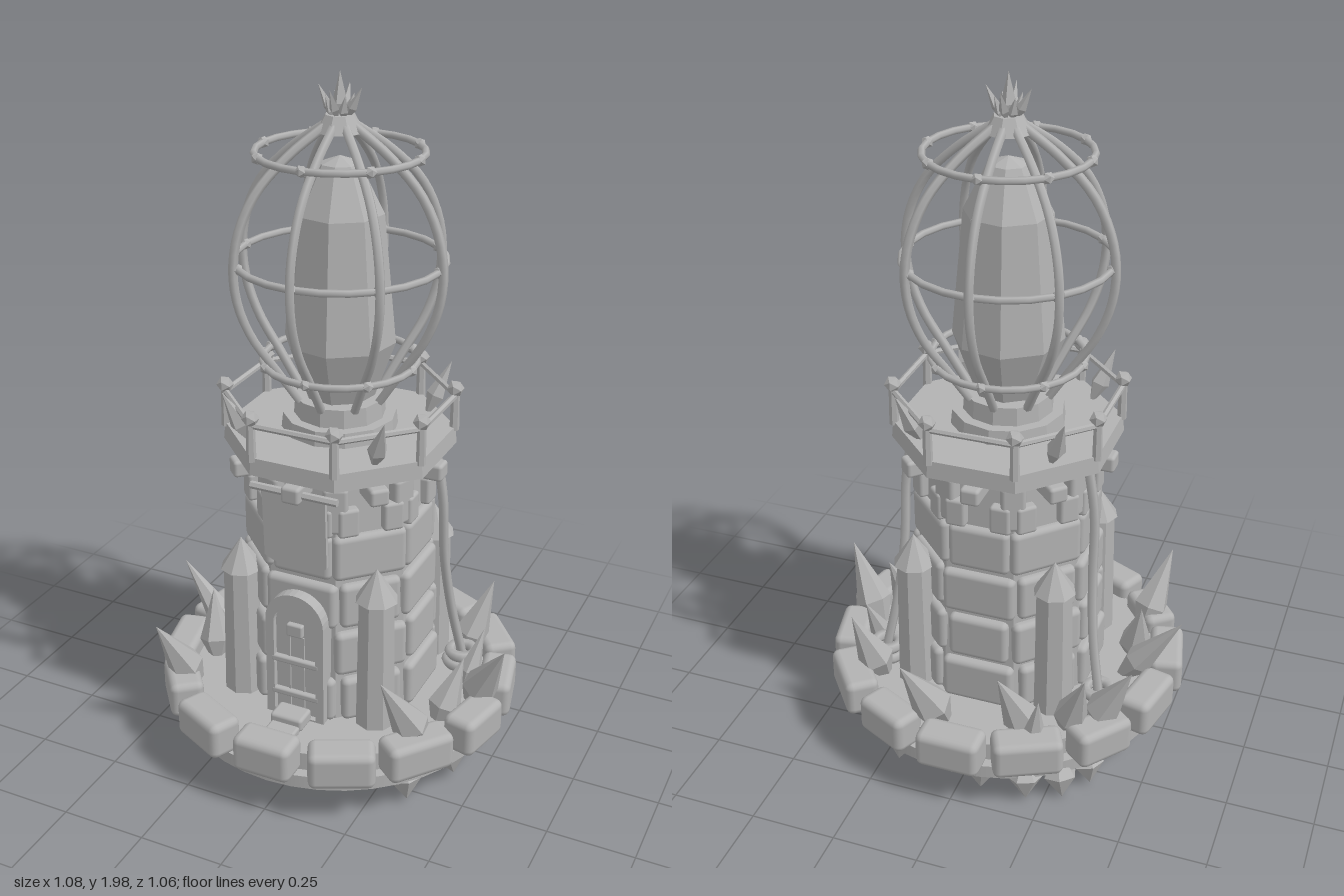
import * as THREE from 'three';
import { RoundedBoxGeometry } from 'three/addons/geometries/RoundedBoxGeometry.js';

export function createModel() {
  const root = new THREE.Group();
  root.name = 'crystalLighthouse';
  const stone = new THREE.MeshStandardMaterial({ color: 0xb2b2b2 });
  stone.name = 'grey stone';
  const V = (x, y, z) => new THREE.Vector3(x, y, z);
  const UP = V(0, 1, 0);

  const add = (name, geo, x = 0, y = 0, z = 0, ry = 0, parent = root) => {
    const m = new THREE.Mesh(geo, stone);
    m.name = name;
    m.position.set(x, y, z);
    m.rotation.y = ry;
    parent.add(m);
    return m;
  };
  // Places a part at radius r around the axis, facing outward, with a sideways shift
  const around = (name, geo, a, r, y, shift = 0) =>
    add(name, geo, Math.sin(a) * r + Math.cos(a) * shift, y, Math.cos(a) * r - Math.sin(a) * shift, a);
  const flat = (g) => {
    const f = g.index ? g.toNonIndexed() : g;
    f.computeVertexNormals();
    return f;
  };
  const block = (w, h, d, r = 0.018) => new RoundedBoxGeometry(w, h, d, 2, r);
  const prism = (rt, rb, h, n) => flat(new THREE.CylinderGeometry(rt, rb, h, n));
  const lathe = (pts, n) => flat(new THREE.LatheGeometry(pts.map((p) => new THREE.Vector2(...p)), n));
  const E = Math.PI / 4;

  // Pointed crystal running from one point to another
  const crystal = (name, from, to, r, n = 6, belly = 0.4) => {
    const d = to.clone().sub(from);
    const L = d.length();
    const m = add(name, lathe([[0, 0], [r, L * belly], [0, L]], n), from.x, from.y, from.z);
    m.quaternion.setFromUnitVectors(UP, d.normalize());
    return m;
  };
  const rod = (name, a, b, r) => {
    const m = add(name, prism(r, r, a.distanceTo(b), 6));
    m.position.copy(a).lerp(b, 0.5);
    m.quaternion.setFromUnitVectors(UP, b.clone().sub(a).normalize());
  };

  // Round base with a rim of rounded stones
  add('baseDisk', new THREE.CylinderGeometry(0.485, 0.485, 0.04, 40), 0, 0.13, 0);
  add('baseFloor', new THREE.CylinderGeometry(0.455, 0.455, 0.06, 40), 0, 0.175, 0);
  for (let i = 0; i < 14; i++) {
    around('rimStone', block(0.188 + 0.012 * (i % 3 - 1), 0.112, 0.1, 0.022),
      i * Math.PI / 7, 0.478 + 0.006 * (i % 2), 0.202);
  }

  // Crystals growing out of the base: x, z of the foot, then x, y, z of the tip, then radius
  [[0.05, -0.35, 0.15, 0.44, -0.48, 0.06], [-0.2, -0.32, -0.12, 0.43, -0.43, 0.055],
    [-0.32, -0.24, -0.46, 0.42, -0.27, 0.055], [-0.33, 0, -0.54, 0.43, -0.01, 0.045],
    [-0.36, 0.12, -0.4, 0.4, 0.06, 0.05], [-0.35, 0.22, -0.42, 0.43, 0.36, 0.055],
    [-0.26, -0.27, -0.35, 0.43, -0.36, 0.05], [0.3, -0.22, 0.38, 0.43, -0.3, 0.055],
    [0.4, -0.02, 0.54, 0.43, 0.06, 0.055], [0.36, 0.14, 0.42, 0.38, 0.06, 0.05],
    [0.38, 0.21, 0.29, 0.44, 0.36, 0.055], [0.37, -0.06, 0.41, 0.36, -0.14, 0.035],
    [-0.2, -0.38, -0.23, 0.36, -0.4, 0.035],
  ].forEach(([x, z, tx, ty, tz, r]) => crystal('baseCrystal', V(x, 0.15, z), V(tx, ty, tz), r));

  // Crystals hanging below the rim
  [[0.43, -0.05, 0.02], [0.42, 0.14, 0.04], [0.34, 0.29, 0.03], [0.2, -0.38, 0.02], [-0.07, -0.43, 0.04],
    [-0.29, -0.37, 0.02], [-0.35, -0.3, 0.03], [-0.2, -0.42, 0.03], [-0.4, -0.06, 0.04], [-0.33, 0.2, 0.03],
    [-0.3, 0.28, 0.02],
  ].forEach(([x, z, y]) => crystal('hangingCrystal', V(x * 0.94, 0.17, z * 0.94), V(x * 1.03, y, z * 1.03), 0.05, 6, 0.55));

  // Octagonal tower core clad with rows of stones
  add('towerCore', prism(0.25, 0.28, 0.77, 8), 0, 0.575, 0, E / 2);
  [0.27, 0.42, 0.57, 0.72].forEach((y, row) => {
    const r = 0.262 - row * 0.007;
    for (let i = 0; i < 8; i++) {
      const w = (i + row) % 2 ? 0.18 : 0.215;
      around('wallStone', block(w, 0.138, 0.07), i * E, r - 0.018, y);
    }
  });
  // Broken top row with notches
  for (let i = 0; i < 8; i++) {
    for (const s of [-1, 1]) around('notchStone', block(0.06, 0.085, 0.06, 0.01), i * E, 0.232, 0.832, s * 0.065);
    around('cornerStone', block(0.07, 0.14, 0.05, 0.012), (i + 0.5) * E, 0.245, 0.868);
  }

  // Corner turrets with pointed caps
  for (let i = 0; i < 4; i++) {
    const a = (i + 0.5) * Math.PI / 2;
    around('turret', prism(0.053, 0.06, 0.42, 8), a, 0.3, 0.405);
    around('turretCap', prism(0, 0.062, 0.095, 8), a, 0.3, 0.655);
    const s = Math.sin(a) * 0.33;
    const c = Math.cos(a) * 0.33;
    const y = 0.47 + 0.04 * i;
    crystal('turretShard', V(s * 0.85, y, c * 0.92), V(s * 0.95, y + 0.05, c * 1.02), 0.02, 5);
  }

  // Arched door with frame, hinges, window and steps
  const arch = (w, y0, y1) => {
    const s = new THREE.Shape();
    s.moveTo(-w, y0);
    s.lineTo(w, y0);
    s.lineTo(w, y1 - w);
    s.absarc(0, y1 - w, w, 0, Math.PI, false);
    s.closePath();
    return s;
  };
  const frame = arch(0.09, 0.2, 0.61);
  frame.holes.push(arch(0.065, 0.21, 0.575));
  const extr = (s, depth) => new THREE.ExtrudeGeometry(s, { depth, bevelEnabled: false, curveSegments: 8 });
  add('doorFrame', extr(frame, 0.07), 0, 0, 0.232);
  add('door', extr(arch(0.067, 0.2, 0.577), 0.055), 0, 0, 0.23);
  [0.28, 0.39].forEach((y) => add('doorHinge', block(0.15, 0.02, 0.02, 0.006), 0, y, 0.293));
  [-0.022, 0.022].forEach((x) => add('doorGroove', new THREE.BoxGeometry(0.005, 0.26, 0.008), x, 0.34, 0.286));
  add('doorWindow', block(0.05, 0.04, 0.02, 0.006), 0, 0.495, 0.294);
  add('upperStep', block(0.1, 0.04, 0.07, 0.01), 0, 0.225, 0.33);
  add('lowerStep', block(0.09, 0.025, 0.06, 0.008), 0, 0.212, 0.39);

  // Cloth banner above the door
  const cloth = new THREE.Shape();
  cloth.moveTo(-0.095, 0.925);
  cloth.lineTo(-0.09, 0.72);
  cloth.quadraticCurveTo(-0.03, 0.69, 0.02, 0.7);
  cloth.quadraticCurveTo(0.07, 0.69, 0.1, 0.72);
  cloth.lineTo(0.095, 0.925);
  add('banner', extr(cloth, 0.012), 0, 0, 0.285);
  rod('bannerRod', V(-0.13, 0.925, 0.292), V(0.13, 0.925, 0.292), 0.011);

  // Balcony slab, brackets and railing
  add('balcony', prism(0.325, 0.33, 0.05, 8), 0, 0.985, 0, E / 2);
  add('balconyUnderside', prism(0.3, 0.265, 0.03, 8), 0, 0.947, 0, E / 2);
  const corner = (i, y, r = 0.322) => V(Math.sin((i + 0.5) * E) * r, y, Math.cos((i + 0.5) * E) * r);
  for (let i = 0; i < 8; i++) {
    around('bracket', block(0.055, 0.05, 0.1, 0.01), i * E, 0.27, 0.928);
    const p = corner(i, 1.06);
    add('railPost', prism(0.012, 0.014, 0.12, 6), p.x, p.y, p.z);
    add('railKnob', flat(new THREE.IcosahedronGeometry(0.025, 0)), p.x, 1.125, p.z);
    rod('rail', corner(i, 1.105), corner(i + 1, 1.105), 0.009);
  }
  for (let i = 0; i < 4; i++) {
    const a = (i + 0.5) * Math.PI / 2;
    const s = Math.sin(a);
    const c = Math.cos(a);
    crystal('balconyCrystal', V(s * 0.26, 0.99, c * 0.26), V(s * 0.34, 1.155, c * 0.34), 0.028, 5);
  }

  // Hanging ropes ending in coils on the ground
  for (const s of [-1, 1]) {
    const path = new THREE.CatmullRomCurve3([V(s * 0.26, 0.96, -0.08), V(s * 0.285, 0.8, -0.085),
      V(s * 0.29, 0.6, -0.1), V(s * 0.305, 0.42, -0.13), V(s * 0.335, 0.24, -0.16)]);
    add('rope', new THREE.TubeGeometry(path, 20, 0.014, 6));
    [0.22, 0.25].forEach((y, k) => {
      add('ropeCoil', new THREE.TorusGeometry(0.045 - k * 0.008, 0.017, 6, 16), s * 0.335, y, -0.16).rotation.x = Math.PI / 2;
    });
  }

  // Lamp pedestal
  add('pedestalBase', prism(0.16, 0.165, 0.045, 12), 0, 1.03, 0);
  add('pedestalTop', prism(0.125, 0.13, 0.06, 12), 0, 1.075, 0);

  // Large faceted lamp crystal
  add('lampCrystal', lathe([[0, 1.1], [0.1, 1.11], [0.157, 1.27], [0.122, 1.63], [0.055, 1.76], [0, 1.78]], 8), 0, 0, 0, 0.2);

  // Cage of eight curved ribs
  const rib = new THREE.CatmullRomCurve3([[0.12, 1.1], [0.185, 1.2], [0.25, 1.3], [0.288, 1.4], [0.298, 1.5],
    [0.28, 1.6], [0.23, 1.7], [0.14, 1.79], [0.04, 1.86]].map(([r, y]) => V(0, y, r)));
  const ribGeo = new THREE.TubeGeometry(rib, 28, 0.013, 6);
  for (let i = 0; i < 8; i++) add('cageRib', ribGeo, 0, 0, 0, i * E);

  // Cage hoops with small knobs
  [[1.21, 0.215], [1.5, 0.287], [1.79, 0.225]].forEach(([y, r]) => {
    add('cageHoop', new THREE.TorusGeometry(r, 0.01, 6, 24), 0, y, 0).rotation.x = Math.PI / 2;
    for (let i = 0; i < 8; i++) around('hoopKnob', flat(new THREE.IcosahedronGeometry(0.017, 0)), i * E, r, y);
  });

  // Crowned finial
  add('finialCollar', prism(0.04, 0.065, 0.045, 8), 0, 1.865, 0);
  crystal('finialSpike', V(0, 1.86, 0), V(0, 2, 0), 0.022, 4);
  for (let i = 0; i < 8; i++) {
    const r = i % 2 ? 0.04 : 0.062;
    const s = Math.sin(i * E);
    const c = Math.cos(i * E);
    crystal('finialSpike', V(s * 0.015, 1.87, c * 0.015), V(s * r, i % 2 ? 1.94 : 1.96, c * r), 0.014, 4);
  }
  return root;
}
